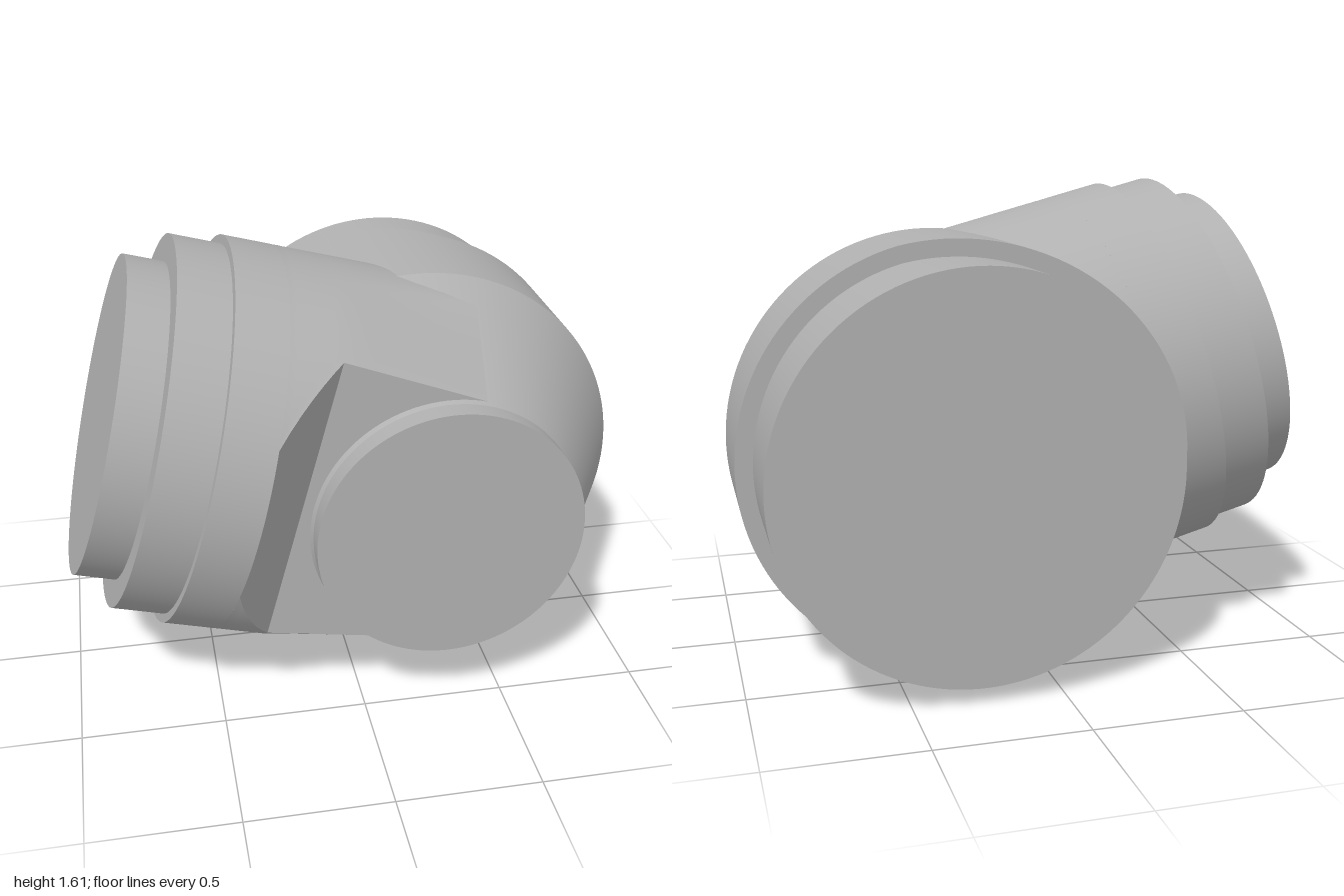
import * as THREE from 'three';
import { toCreasedNormals } from 'three/addons/utils/BufferGeometryUtils.js';

const SEG = 128;
const ARM_Z = 0.06, ARM_R = 0.675;

export function createModel() {
  const grey = new THREE.MeshStandardMaterial({ color: 0xb0b0b0 });
  grey.name = 'grey';

  // Everything sits in a frame tilted 15 degrees: arm along local -x, body axis along z
  const model = new THREE.Group();
  model.name = 'elbowJoint';
  const joint = new THREE.Group();
  joint.name = 'tiltedJoint';
  joint.position.set(0.272, 0.727, 0);
  joint.rotation.z = -Math.PI / 12;
  model.add(joint);

  const add = (name, geometry) => {
    const mesh = new THREE.Mesh(toCreasedNormals(geometry, 0.5), grey);
    mesh.name = name;
    joint.add(mesh);
    return mesh;
  };
  const lathe = (points) => new THREE.LatheGeometry(
    points.map(([r, y]) => new THREE.Vector2(r, y)), SEG).rotateX(Math.PI / 2);

  // Main body: drum, cone and short front boss; its rear rim slants back toward the arm
  const body = lathe([[0.5, -0.38], [0.725, -0.38], [0.725, 0.045], [0.455, 0.515], [0.455, 0.59], [0, 0.59]]);
  const p = body.attributes.position;
  for (let i = 0; i < p.count; i++) {
    if (p.getZ(i) < -0.3) p.setZ(i, -0.38 - 0.33 * Math.max(0, -p.getX(i)));
  }
  add('mainBody', body);

  // Rear flange
  add('rearFlange', lathe([[0, -0.745], [0.667, -0.745], [0.667, -0.37]]));

  // Stepped collars at the end of the arm: radius, start and end along the arm
  [['armCollar', ARM_R, 0.675, 0.851],
    ['middleCollar', 0.645, 0.84, 1.028],
    ['endCollar', 0.55, 1.02, 1.167]].forEach(([name, r, s0, s1]) => {
    const g = new THREE.CylinderGeometry(r, r, s1 - s0, SEG).rotateZ(Math.PI / 2);
    add(name, g.translate(-(s0 + s1) / 2, 0, ARM_Z));
  });

  // Arm neck: round sections cut by a flat and a ramp at the front, blending into the cone
  add('armNeck', neckGeometry());
  return model;
}

function neckGeometry() {
  const stations = [0, 0.1, 0.2, 0.3, 0.4, 0.5, 0.53, 0.56, 0.59, 0.62, 0.65, 0.675];
  const n = 96, pos = [], index = [];
  stations.forEach((s, i) => {
    const zTop = 0.5 + Math.max(0, s - 0.5) * 1.03;
    const a0 = Math.asin((zTop - ARM_Z) / ARM_R);
    const blend = Math.min(1, s / 0.5);
    for (let j = 0; j <= n; j++) {
      const a = a0 - (j / n) * (Math.PI + 2 * a0);
      const z = ARM_Z + ARM_R * Math.sin(a);
      let h = ARM_R * Math.cos(a);
      if (z > ARM_Z) {
        const cone = 0.725 - (z - 0.045) * 0.574;
        const w = Math.abs(h);
        h = Math.sign(h) * Math.min(w, cone + (w - cone) * blend);
      }
      pos.push(-s, h, z);
      if (i < stations.length - 1) {
        const k = (j + 1) % (n + 1), row = i * (n + 1), next = row + n + 1;
        index.push(row + j, row + k, next + j, row + k, next + k, next + j);
      }
    }
  });
  const g = new THREE.BufferGeometry();
  g.setAttribute('position', new THREE.Float32BufferAttribute(pos, 3));
  g.setIndex(index);
  return g;
}
